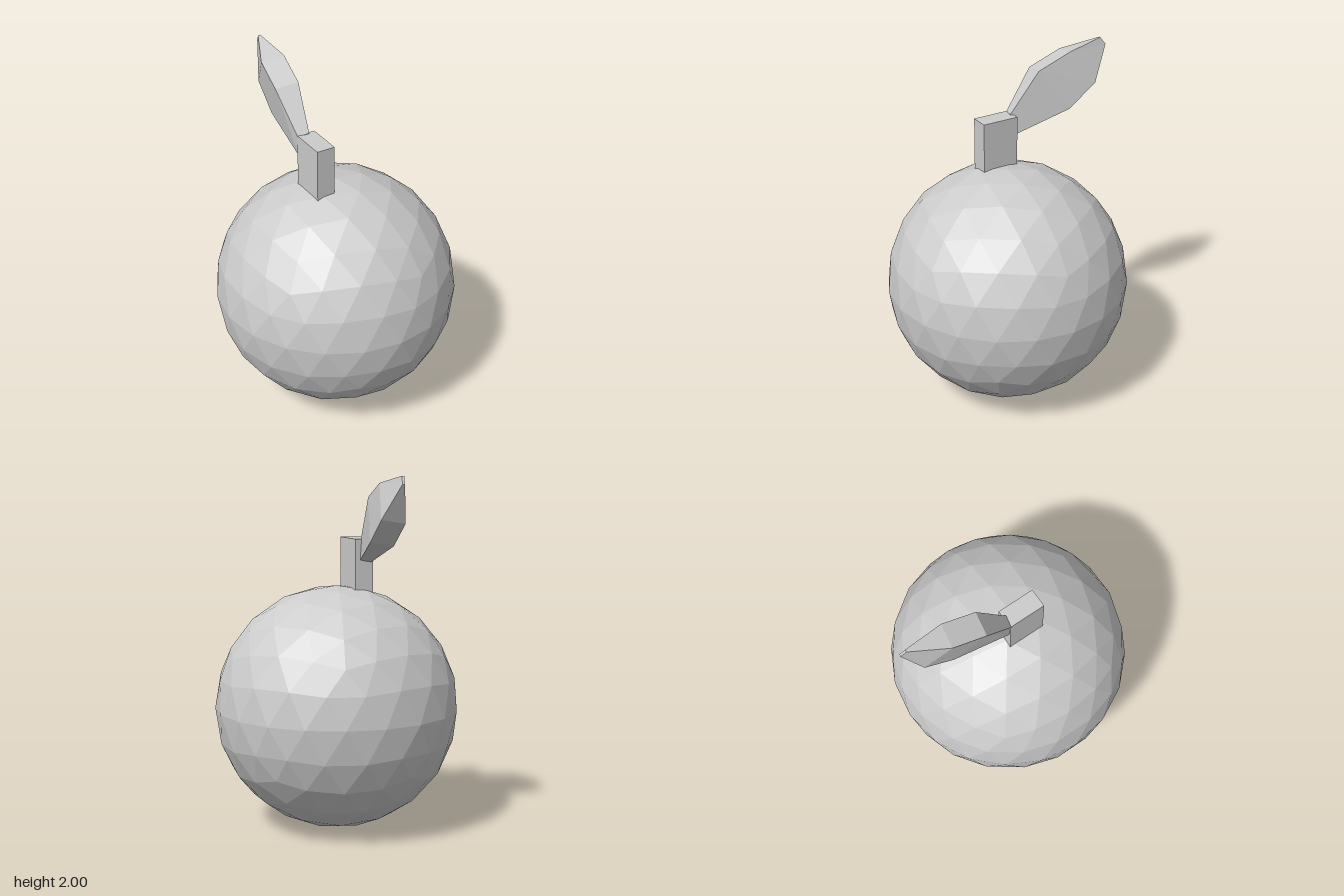
import * as THREE from 'three';

const material = new THREE.MeshStandardMaterial({ color: 0xcccccc, flatShading: true });

function addPart(group, name, geometry) {
  const mesh = new THREE.Mesh(geometry, material);
  mesh.name = name;
  group.add(mesh);
  return mesh;
}

// Folded leaf blade: four-cornered sections from the base to the tip.
function leafGeometry() {
  // upper and lower corner on the left side, and how far the right side is offset
  const sections = [
    { upper: [-0.111, 1.65, -0.089], lower: [-0.1, 1.525, -0.1], width: 0.5 },
    { upper: [-0.081, 1.88, -0.252], lower: [-0.019, 1.645, -0.42], width: 1 },
    { upper: [-0.063, 1.96, -0.44], lower: [-0.01, 1.772, -0.583], width: 1 },
    { upper: [-0.088, 2.0, -0.662], lower: [-0.078, 1.958, -0.693], width: 0.1 },
  ];
  const across = new THREE.Vector3(-0.13, -0.02, -0.02);
  const rings = sections.map(({ upper, lower, width }) => {
    const u = new THREE.Vector3(...upper);
    const l = new THREE.Vector3(...lower);
    return [u, l, l.clone().addScaledVector(across, width), u.clone().addScaledVector(across, width)];
  });

  const points = [];
  const quad = (a, b, c, d) => points.push(a, b, c, a, c, d);
  for (let k = 0; k < rings.length - 1; k++) {
    for (let i = 0; i < 4; i++) {
      const j = (i + 1) % 4;
      quad(rings[k][i], rings[k][j], rings[k + 1][j], rings[k + 1][i]);
    }
  }
  quad(...[...rings[0]].reverse());
  quad(...rings[rings.length - 1]);

  const geometry = new THREE.BufferGeometry().setFromPoints(points);
  geometry.computeVertexNormals();
  return geometry;
}

export function createModel() {
  const group = new THREE.Group();
  group.name = 'fruit';

  // Faceted body, turned so that one corner points straight up
  const radius = 0.69;
  const body = new THREE.IcosahedronGeometry(radius, 3);
  body.rotateZ(-Math.atan(2 / (1 + Math.sqrt(5))));
  addPart(group, 'fruitBody', body).position.y = radius;

  // Square stem sunk into the top
  const stem = new THREE.BoxGeometry(0.107, 0.345, 0.213);
  addPart(group, 'stem', stem).position.set(-0.122, 1.4725, 0);

  // Leaf rising backwards from the stem
  addPart(group, 'leaf', leafGeometry());

  return group;
}
